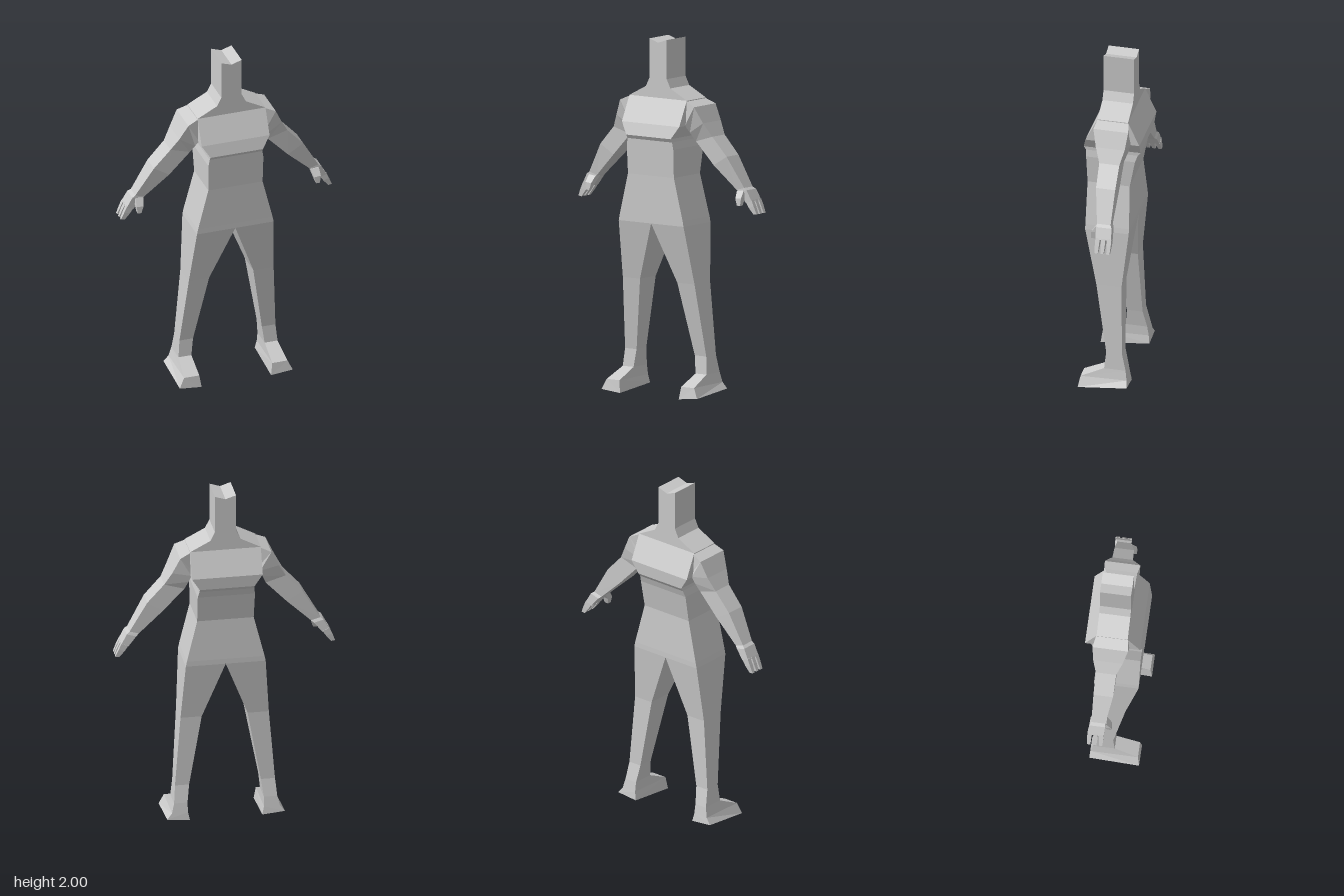
import * as THREE from 'three';

const material = new THREE.MeshStandardMaterial({ color: 0xcccccc, flatShading: true });

// Four-cornered cross-section: outer edge (xo, yo), inner edge (xi, yi),
// front and back depth, and how far the back edge is raised.
function ring(xo, yo, xi, yi, zf, zb, lift = 0) {
  return [[xo, yo, zf], [xo, yo + lift, zb], [xi, yi + lift, zb], [xi, yi, zf]];
}

// Closed skin over cross-sections listed from bottom to top; side = -1 mirrors it.
function loft(name, rings, side = 1) {
  const pos = [];
  const tri = (a, b, c) => {
    for (const p of side > 0 ? [a, b, c] : [a, c, b]) pos.push(p[0] * side, p[1], p[2]);
  };
  const quad = (a, b, c, d) => { tri(a, b, c); tri(a, c, d); };
  for (let k = 0; k < rings.length - 1; k++) {
    const a = rings[k], b = rings[k + 1];
    for (let i = 0; i < 4; i++) {
      const j = (i + 1) % 4;
      quad(a[i], a[j], b[j], b[i]);
    }
  }
  const s = rings[0], e = rings[rings.length - 1];
  quad(s[3], s[2], s[1], s[0]);
  quad(e[0], e[1], e[2], e[3]);
  const geometry = new THREE.BufferGeometry();
  geometry.setAttribute('position', new THREE.Float32BufferAttribute(pos, 3));
  geometry.computeVertexNormals();
  const mesh = new THREE.Mesh(geometry, material);
  mesh.name = name;
  return mesh;
}

// Torso: [height, half width, front, back] from hips to neck base
function makeTorso() {
  const levels = [
    [0.97, 0.226, 0.14, -0.11],
    [1.0, 0.22, 0.14, -0.11],
    [1.24, 0.16, 0.142, -0.1],
    [1.4, 0.162, 0.15, -0.13],
    [1.44, 0.155, 0.152, -0.145],
    [1.46, 0.155, 0.165, -0.16],
    [1.53, 0.2, 0.145, -0.165],
    [1.67, 0.2, 0.075, -0.1],
    [1.73, 0.085, 0.075, -0.1],
  ];
  return loft('torso', levels.map(([y, w, f, b]) => ring(w, y, -w, y, f, b)));
}

// Neck: flared base and a shallow V cut across the top
function makeNeck() {
  const half = [[0.085, 1.73], [0.06, 1.78], [0.06, 2]];
  const outline = [...half, [0, 1.98], ...half.map(([x, y]) => [-x, y]).reverse()];
  const shape = new THREE.Shape(outline.map(([x, y]) => new THREE.Vector2(x, y)));
  const geometry = new THREE.ExtrudeGeometry(shape, { depth: 0.175, bevelEnabled: false });
  geometry.translate(0, 0, -0.1);
  const mesh = new THREE.Mesh(geometry, material);
  mesh.name = 'neck';
  return mesh;
}

function makeLeg(side) {
  const leg = new THREE.Group();
  leg.name = side > 0 ? 'leftLeg' : 'rightLeg';
  // Wedge foot with a sloping instep
  leg.add(loft('foot', [
    ring(0.333, 0.012, 0.205, 0, 0.157, -0.123, 0.028),
    ring(0.305, 0.07, 0.215, 0.07, 0.147, -0.117, 0.005),
    ring(0.292, 0.13, 0.216, 0.13, 0.015, -0.108),
  ], side));
  // Ankle to hip
  leg.add(loft('legShaft', [
    ring(0.292, 0.13, 0.216, 0.13, 0.015, -0.108),
    ring(0.283, 0.23, 0.203, 0.23, 0.005, -0.085),
    ring(0.25, 0.64, 0.13, 0.64, 0.07, -0.075),
    ring(0.226, 0.97, 0, 0.97, 0.14, -0.11),
  ], side));
  return leg;
}

function makeArm(side) {
  const arm = new THREE.Group();
  arm.name = side > 0 ? 'leftArm' : 'rightArm';
  // Wrist to shoulder
  arm.add(loft('armShaft', [
    ring(0.54, 1.2, 0.487, 1.185, -0.005, -0.083),
    ring(0.44, 1.37, 0.35, 1.315, 0.025, -0.085),
    ring(0.344, 1.475, 0.23, 1.44, 0.03, -0.085),
    ring(0.302, 1.55, 0.21, 1.49, 0.06, -0.105),
    ring(0.258, 1.64, 0.195, 1.53, 0.085, -0.115),
    ring(0.19, 1.67, 0.17, 1.53, 0.075, -0.1),
  ], side));
  // Palm
  arm.add(loft('palm', [
    ring(0.59, 1.128, 0.55, 1.115, -0.008, -0.098),
    ring(0.557, 1.188, 0.503, 1.172, -0.004, -0.092),
    ring(0.54, 1.2, 0.487, 1.185, -0.005, -0.083),
  ], side));
  // Three fingers
  for (const z of [-0.02, -0.053, -0.087]) {
    arm.add(loft('finger', [
      ring(0.622, 1.057, 0.6, 1.054, z + 0.009, z - 0.009),
      ring(0.604, 1.1, 0.57, 1.09, z + 0.012, z - 0.012),
      ring(0.588, 1.135, 0.55, 1.12, z + 0.012, z - 0.012),
    ], side));
  }
  // Thumb
  arm.add(loft('thumb', [
    ring(0.537, 1.102, 0.515, 1.102, 0.03, 0.006),
    ring(0.543, 1.145, 0.503, 1.14, 0.028, -0.01),
    ring(0.54, 1.185, 0.493, 1.18, 0, -0.045),
  ], side));
  return arm;
}

export function createModel() {
  const model = new THREE.Group();
  model.name = 'figure';
  model.add(makeTorso(), makeNeck());
  for (const side of [1, -1]) model.add(makeLeg(side), makeArm(side));
  return model;
}
